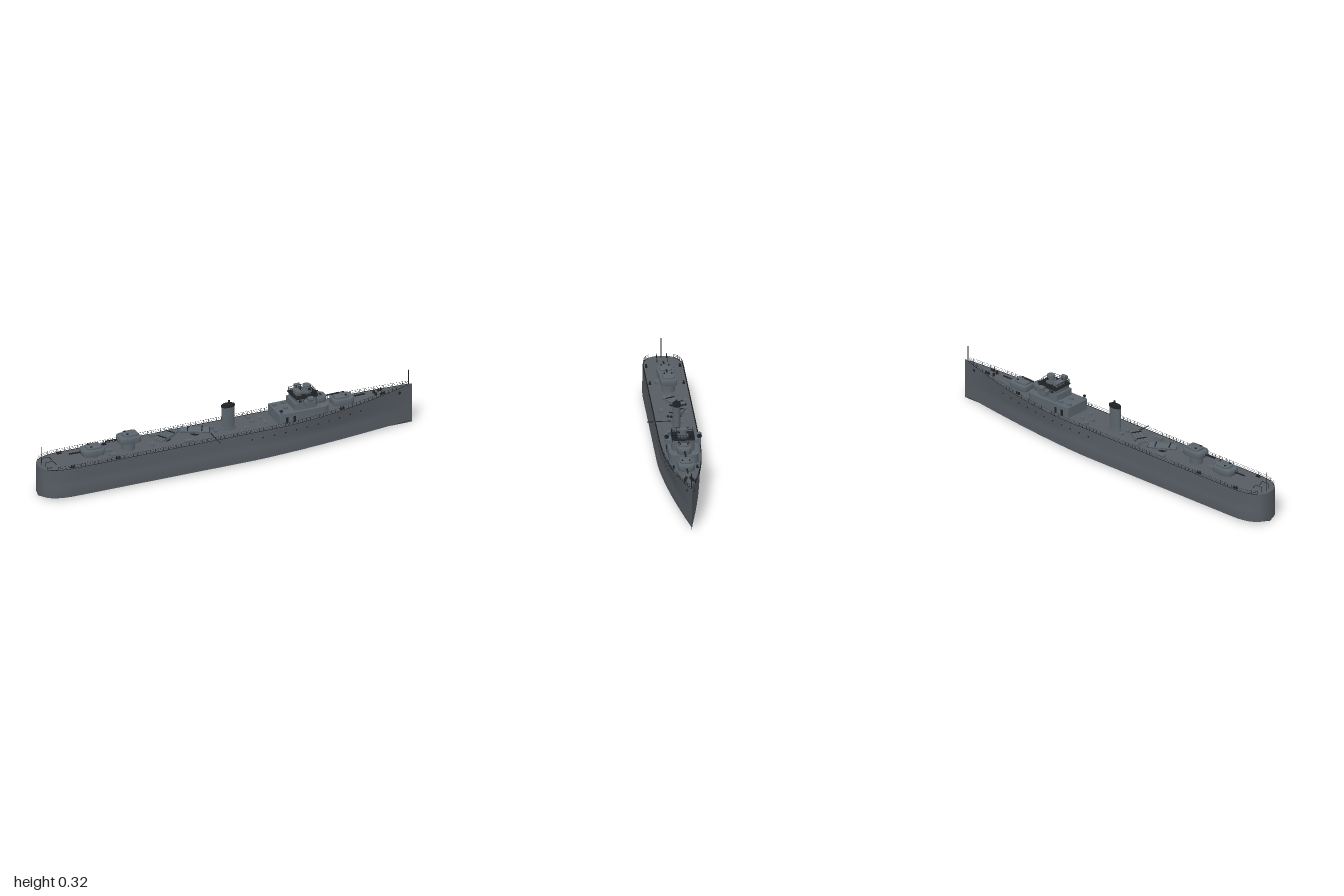
import * as THREE from 'three';
import { mergeGeometries, toCreasedNormals } from 'three/addons/utils/BufferGeometryUtils.js';

const paint = (name, color) => Object.assign(new THREE.MeshStandardMaterial({ color }), { name });
const V = (x, y, z) => new THREE.Vector3(x, y, z);

export function createModel() {
  const hullGrey = paint('hull grey', 0x565c63);
  const upperGrey = paint('superstructure grey', 0x5b646c);
  const dark = paint('dark fittings', 0x1f2225);

  const ship = new THREE.Group();
  ship.name = 'warship';
  ship.position.z = -0.015;

  const add = (name, geo, mat, x = 0, y = 0, z = 0, parent = ship) => {
    const m = new THREE.Mesh(geo, mat);
    m.name = name;
    m.position.set(x, y, z);
    parent.add(m);
    return m;
  };
  // Boxes and cylinders stand on the given y
  const box = (name, mat, w, h, d, x, y, z, parent) =>
    add(name, new THREE.BoxGeometry(w, h, d), mat, x, y + h / 2, z, parent);
  const cyl = (name, mat, r, h, x, y, z, parent, rTop = r) =>
    add(name, new THREE.CylinderGeometry(rTop, r, h, 20), mat, x, y + h / 2, z, parent);
  const rod = (a, b, r, sides = 4) => {
    const d = b.clone().sub(a);
    const g = new THREE.CylinderGeometry(r, r, d.length(), sides);
    g.applyQuaternion(new THREE.Quaternion().setFromUnitVectors(V(0, 1, 0), d.clone().normalize()));
    return g.translate((a.x + b.x) / 2, (a.y + b.y) / 2, (a.z + b.z) / 2);
  };
  // Plan shape with separately rounded ends, extruded upwards
  const plan = (x0, x1, half, rBack, rFront, h, bevel = 0) => {
    const s = new THREE.Shape();
    s.moveTo(x0 + rBack, -half);
    s.lineTo(x1 - rFront, -half);
    s.quadraticCurveTo(x1, -half, x1, -half + rFront);
    s.lineTo(x1, half - rFront);
    s.quadraticCurveTo(x1, half, x1 - rFront, half);
    s.lineTo(x0 + rBack, half);
    s.quadraticCurveTo(x0, half, x0, half - rBack);
    s.lineTo(x0, -half + rBack);
    s.quadraticCurveTo(x0, -half, x0 + rBack, -half);
    const g = new THREE.ExtrudeGeometry(s, {
      depth: h - 2 * bevel, bevelEnabled: bevel > 0, bevelSize: bevel, bevelThickness: bevel,
      bevelOffset: -bevel, bevelSegments: 2, curveSegments: 8,
    });
    return toCreasedNormals(g.rotateX(-Math.PI / 2).translate(0, bevel, 0), 0.6);
  };

  // Hull lines
  const ramp = (x, start) => Math.max(0, (x - start) / (1 - start));
  const stern = (x) => {
    const t = Math.min(1, Math.max(0, (-0.83 - x) / 0.17));
    return Math.pow(1 - Math.pow(t, 2.5), 1 / 2.5);
  };
  const deckY = (x) => 0.163 + 0.047 * Math.pow(ramp(x, 0.25), 1.6);
  const deckHalf = (x) => 0.1 * stern(x) * (1 - Math.pow(ramp(x, 0.2), 2));
  const keelHalf = (x) => 0.103 * stern(x) * (1 - Math.pow(ramp(x, 0.1), 1.5));
  const sideAt = (x, y) => {
    const t = Math.max(0, (y - 0.085) / (deckY(x) - 0.085));
    const low = keelHalf(x) * 0.97;
    return low + (deckHalf(x) - low) * t;
  };

  // Hull, lofted from stern to stem
  const stations = [];
  for (let i = 0; i < 16; i++) stations.push(-1 + 0.17 * (1 - Math.cos((i / 16) * Math.PI / 2)));
  for (let i = 0; i <= 44; i++) stations.push(-0.83 + (1.83 * i) / 44);
  const section = (x) => {
    const k = keelHalf(x), dy = deckY(x), top = (y) => [sideAt(x, y), y];
    const half = [[0, dy], [deckHalf(x), dy], top(0.135), top(0.11), top(0.087), [k, 0.07], [k, 0.04], [k * 0.98, 0.014], [0, 0.002]];
    return [...half, ...half.slice(0, -1).reverse().map(([z, y]) => [-z, y])];
  };
  const pos = [], idx = [];
  stations.forEach((x, s) => {
    const sec = section(x), n = sec.length;
    sec.forEach(([z, y], i) => {
      pos.push(x, y, z);
      if (s < stations.length - 1 && i < n - 1) {
        const a = s * n + i, b = a + 1, c = a + n, d = c + 1;
        idx.push(a, b, c, b, d, c);
      }
    });
  });
  const hull = new THREE.BufferGeometry();
  hull.setAttribute('position', new THREE.Float32BufferAttribute(pos, 3));
  hull.setIndex(idx);
  add('hull', toCreasedNormals(hull, 0.5), hullGrey);

  // Deck edge, railings, portholes and hawse holes on both sides
  for (const side of [1, -1]) {
    const rails = [];
    const at = (x, h) => V(x, deckY(x) + h, side * Math.max(0, deckHalf(x) - 0.002));
    for (let i = 0; i < 84; i++) {
      const x = -0.975 + (1.95 * i) / 84, x2 = x + 1.95 / 84;
      rails.push(rod(at(x, 0), at(x, 0.018), 0.0009));
      for (const h of [0.001, 0.009, 0.018]) rails.push(rod(at(x, h), at(x2, h), h < 0.005 ? 0.0018 : 0.0006));
    }
    add('railing', mergeGeometries(rails), dark);

    const disc = (name, x, y, r) => {
      const m = add(name, new THREE.CylinderGeometry(r, r, 0.003, 10), dark, x, y, side * sideAt(x, y));
      m.rotation.x = Math.PI / 2;
      const slope = (sideAt(x + 0.01, y) - sideAt(x - 0.01, y)) / 0.02;
      m.rotation.z = side * Math.atan(slope);
    };
    for (let i = 0; i < 11; i++) disc('porthole', 0.1 + i * 0.06, 0.129 + 0.016 * Math.pow(i / 10, 2), 0.004);
    disc('hawseHole', 0.925, 0.18, 0.008);

    // Bollards
    for (const x of [-0.85, -0.61, 0.6, 0.835]) {
      const z = side * (deckHalf(x) - 0.017);
      box('bollardBase', dark, 0.024, 0.004, 0.012, x, deckY(x) - 0.001, z);
      for (const d of [-0.007, 0.007]) cyl('bollard', dark, 0.004, 0.012, x + d, deckY(x), z);
    }
  }

  // Flagstaffs and stern frame
  add('bowStaff', rod(V(0.98, 0.205, 0), V(0.98, 0.287, 0), 0.0018, 6), dark);
  add('sternStaff', rod(V(-0.98, 0.16, 0), V(-0.98, 0.262, 0), 0.0018, 6), dark);
  for (const z of [-0.025, 0.025]) {
    add('sternRack', mergeGeometries([
      rod(V(-0.97, 0.187, z), V(-0.93, 0.187, z), 0.0015), rod(V(-0.97, 0.16, z), V(-0.97, 0.187, z), 0.0015),
      rod(V(-0.93, 0.187, z), V(-0.91, 0.16, z), 0.0015)]), dark);
  }

  // Gun turrets
  const turret = (name, x, floor, y, dir, k = 1) => {
    const g = new THREE.Group();
    g.name = name;
    g.position.set(x, 0, 0);
    g.rotation.y = dir > 0 ? 0 : Math.PI;
    ship.add(g);
    cyl('barbette', upperGrey, 0.034 * k, y - floor + 0.006, 0, floor - 0.003, 0, g);
    add('turretBody', plan(-0.056 * k, 0.056 * k, 0.041 * k, 0.02, 0.03, 0.034, 0.006), upperGrey, 0, y, 0, g);
    add('turretRoof', plan(-0.042 * k, 0.035 * k, 0.03 * k, 0.015, 0.022, 0.014, 0.004), upperGrey, -0.004, y + 0.03, 0, g);
    add('gunMantlet', new THREE.SphereGeometry(0.011, 12, 8), upperGrey, 0.05 * k, y + 0.019, 0, g);
    add('gunBarrel', rod(V(0.045 * k, y + 0.02, 0), V(0.122, y + 0.022, 0), 0.0038, 10), dark, 0, 0, 0, g);
    for (const z of [-0.018, 0.018]) box('sightHood', dark, 0.01, 0.005, 0.007, 0.012, y + 0.043, z, g);
  };
  turret('aftTurret', -0.712, 0.16, 0.173, -1);
  turret('aftUpperTurret', -0.518, 0.16, 0.203, -1);
  turret('foreTurret', 0.625, 0.172, 0.183, 1);
  turret('foreUpperTurret', 0.487, 0.215, 0.217, 1, 0.85);

  // Forward deckhouse and bridge
  add('deckhouse', plan(0.26, 0.535, 0.072, 0.006, 0.045, 0.06), upperGrey, 0, 0.156, 0);
  add('bridgeLower', plan(0.35, 0.475, 0.056, 0.006, 0.03, 0.035), upperGrey, 0, 0.215, 0);
  add('bridgeUpper', plan(0.362, 0.475, 0.053, 0.006, 0.025, 0.025), upperGrey, 0, 0.248, 0);
  add('bridgeRoof', plan(0.356, 0.48, 0.057, 0.006, 0.028, 0.004), dark, 0, 0.272, 0);
  for (let i = -2; i <= 2; i++) box('bridgeWindow', dark, 0.004, 0.011, 0.009, 0.4745, 0.255, i * 0.0115);
  for (const side of [1, -1]) {
    for (let i = 0; i < 4; i++) box('sideWindow', dark, 0.014, 0.011, 0.004, 0.378 + i * 0.021, 0.255, side * 0.0525);
    // Bridge wings with searchlights
    box('bridgeWing', upperGrey, 0.05, 0.022, 0.036, 0.42, 0.243, side * 0.07);
    cyl('searchlightPost', dark, 0.004, 0.014, 0.42, 0.262, side * 0.08);
    const lamp = cyl('searchlight', upperGrey, 0.013, 0.026, 0.42, 0.265, side * 0.08);
    lamp.rotation.z = Math.PI / 2;
    const lens = cyl('searchlightLens', dark, 0.011, 0.002, 0.433, 0.277, side * 0.08);
    lens.rotation.z = Math.PI / 2;
    for (const x of [0.3, 0.34]) box('deckhouseDoor', dark, 0.014, 0.032, 0.003, x, 0.166, side * 0.072);
  }
  const corners = [[0.362, 0.052], [0.45, 0.052], [0.472, 0.03], [0.472, -0.03], [0.45, -0.052], [0.362, -0.052]];
  const bridgeRail = [];
  corners.forEach(([x, z], i) => {
    const [x2, z2] = corners[(i + 1) % corners.length];
    for (const y of [0.285, 0.296]) bridgeRail.push(rod(V(x, y, z), V(x2, y, z2), 0.001));
    for (let j = 0; j < 4; j++) {
      const px = x + ((x2 - x) * j) / 4, pz = z + ((z2 - z) * j) / 4;
      bridgeRail.push(rod(V(px, 0.274, pz), V(px, 0.296, pz), 0.001));
    }
  });
  add('bridgeRail', mergeGeometries(bridgeRail), dark);
  cyl('directorBase', upperGrey, 0.026, 0.018, 0.435, 0.274, 0);
  cyl('director', upperGrey, 0.02, 0.028, 0.435, 0.29, 0);
  box('rangefinder', dark, 0.012, 0.009, 0.056, 0.44, 0.297, 0);
  box('chartHouse', upperGrey, 0.03, 0.022, 0.05, 0.386, 0.274, 0);
  for (const z of [-0.035, 0.035]) cyl('lookoutSight', dark, 0.005, 0.014, 0.45, 0.274, z);
  cyl('deckhousePost', upperGrey, 0.005, 0.018, 0.272, 0.215, 0.063);
  cyl('deckhousePostHead', dark, 0.008, 0.005, 0.272, 0.23, 0.063);
  for (const [x, z] of [[0.28, -0.04], [0.315, 0.015], [0.33, -0.045]]) box('deckhouseLocker', upperGrey, 0.022, 0.012, 0.016, x, 0.215, z);

  // Funnel
  const funnel = new THREE.Group();
  funnel.name = 'funnel';
  funnel.position.x = 0.015;
  funnel.scale.z = 0.58;
  ship.add(funnel);
  cyl('funnelBase', upperGrey, 0.039, 0.012, 0, 0.16, 0, funnel);
  cyl('funnelBody', upperGrey, 0.034, 0.125, 0, 0.16, 0, funnel);
  cyl('funnelCap', dark, 0.036, 0.009, 0, 0.284, 0, funnel);
  cyl('funnelInner', dark, 0.029, 0.006, 0, 0.291, 0, funnel);
  add('steamPipe', rod(V(0.02, 0.16, 0), V(0.02, 0.315, 0), 0.005, 10), dark);

  // Triple torpedo launchers
  for (const [x, z, turn] of [[-0.31, 0.047, 0.54], [-0.155, 0.045, -0.48]]) {
    const g = new THREE.Group();
    g.name = 'torpedoLauncher';
    g.position.set(x, 0, z - 0.06);
    g.rotation.y = turn;
    ship.add(g);
    cyl('launcherPivot', dark, 0.022, 0.016, 0, 0.162, 0, g);
    box('launcherBed', upperGrey, 0.08, 0.006, 0.05, 0, 0.174, 0, g);
    for (const tz of [-0.017, 0, 0.017]) {
      add('torpedoTube', rod(V(-0.07, 0.184, tz), V(0.07, 0.184, tz), 0.0075, 10), upperGrey, 0, 0, 0, g);
      add('tubeMuzzle', rod(V(0.068, 0.184, tz), V(0.072, 0.184, tz), 0.0065, 10), dark, 0, 0, 0, g);
    }
    for (const bx of [-0.035, 0.035]) box('launcherBand', dark, 0.005, 0.005, 0.05, bx, 0.189, 0, g);
  }

  // Deck lockers, hatches and vents
  const lockers = [[-0.62, -0.005, 0.035], [-0.62, 0.048, 0.035], [-0.355, -0.07, 0.03], [-0.185, -0.06, 0.03],
    [-0.22, 0.058, 0.045], [-0.055, -0.028, 0.014], [-0.055, 0.012, 0.014], [0.15, -0.06, 0.018], [0.15, -0.014, 0.018]];
  for (const [x, z, w] of lockers) box('deckLocker', upperGrey, w, 0.014, 0.017, x, 0.162, z);
  for (const [x, z] of [[-0.4, 0.03], [0.09, 0.045], [0.2, 0.03], [0.2, -0.03]]) {
    cyl('ventTrunk', upperGrey, 0.005, 0.018, x, 0.162, z);
    cyl('ventCap', upperGrey, 0.009, 0.005, x, 0.178, z, ship, 0.005);
  }
  for (const z of [-0.012, 0.012]) cyl('capstan', dark, 0.007, 0.014, 0.8, 0.19, z);

  // Boat boom swung out over the left side
  add('boatBoom', rod(V(-0.085, 0.165, 0.02), V(-0.085, 0.163, 0.136), 0.0022, 6), dark);

  return ship;
}
